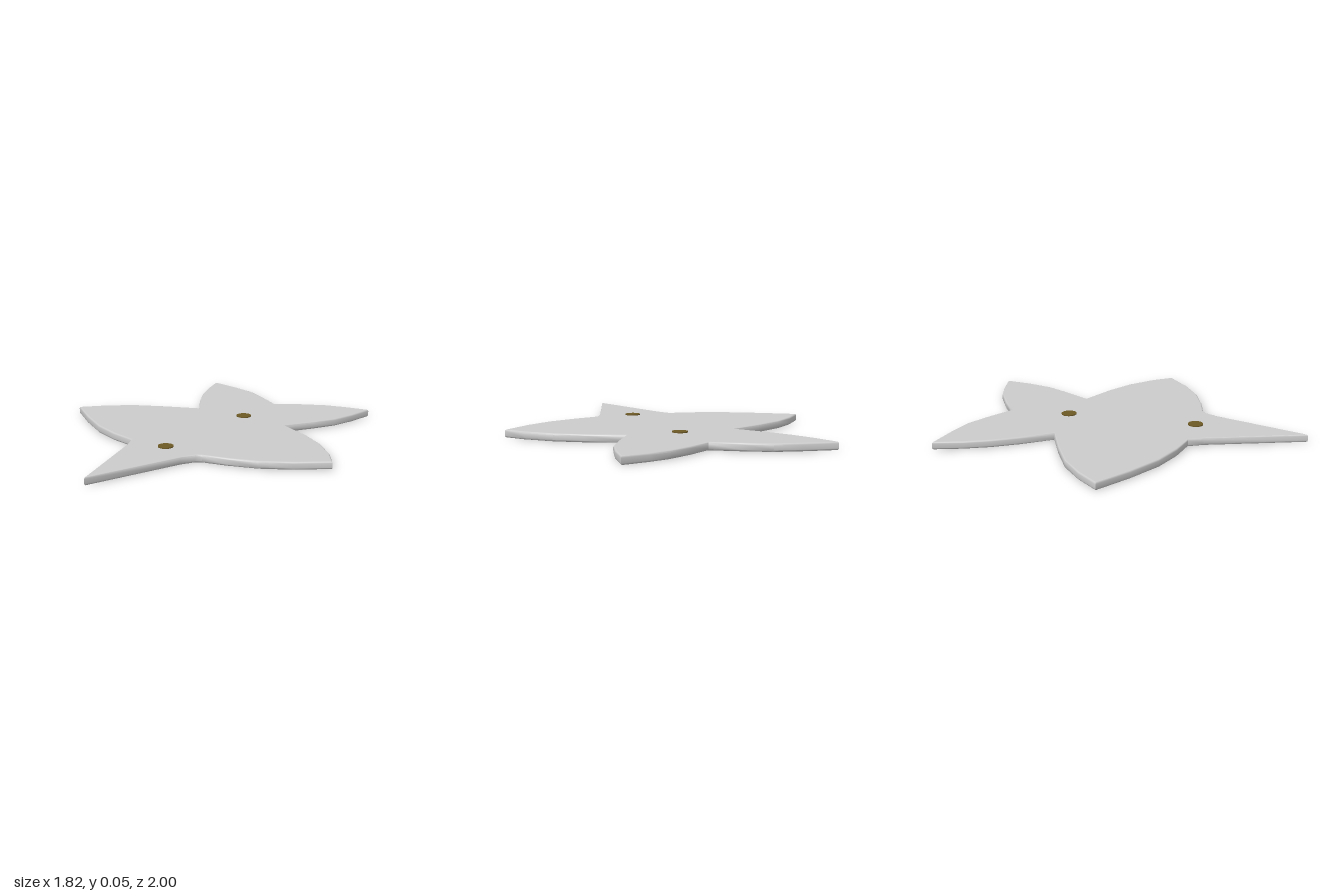
import * as THREE from 'three';
import { toCreasedNormals } from 'three/addons/utils/BufferGeometryUtils.js';

const THICKNESS = 0.045;
const BEVEL = 0.01;

// Star outline as [x, z], starting at the back right tip
const OUTLINE = [
  [-0.59, -1], [-0.4, -0.97], [-0.25, -0.935], [-0.11, -0.86], [0.035, -0.77], // back edge
  [0.17, -0.86], [0.31, -0.935], [0.43, -0.97], [0.585, -1],
  [0.56, -0.835], [0.52, -0.69], [0.445, -0.55], [0.35, -0.395],
  [0.55, -0.3], [0.7, -0.205], [0.83, -0.08], [0.91, 0.03], // left point
  [0.75, 0.165], [0.595, 0.26], [0.43, 0.32], [0.295, 0.355], [0.265, 0.375], [0.225, 0.45],
  [0.035, 1], // front point
  [-0.16, 0.44], [-0.2, 0.36], [-0.36, 0.33], [-0.53, 0.27], [-0.72, 0.16],
  [-0.91, 0.03], // right point
  [-0.8, -0.095], [-0.665, -0.21], [-0.485, -0.305], [-0.285, -0.395],
  [-0.4, -0.56], [-0.48, -0.7], [-0.54, -0.84],
];

// Flat plate with a softly rounded rim
function plateGeometry() {
  const shape = new THREE.Shape(OUTLINE.map(([x, z]) => new THREE.Vector2(x, z)));
  let geometry = new THREE.ExtrudeGeometry(shape, {
    depth: THICKNESS - 2 * BEVEL,
    bevelThickness: BEVEL,
    bevelSize: BEVEL,
    bevelOffset: -BEVEL,
    bevelSegments: 3,
  });
  geometry.rotateX(Math.PI / 2);
  geometry.translate(0, THICKNESS - BEVEL, 0);
  geometry = toCreasedNormals(geometry, Math.PI / 4);

  // Keep the two broad faces flat so only the rim is shaded round
  const { position, normal } = geometry.attributes;
  for (let i = 0; i < position.count; i++) {
    const y = position.getY(i);
    if (y > THICKNESS - 1e-4) normal.setXYZ(i, 0, 1, 0);
    else if (y < 1e-4) normal.setXYZ(i, 0, -1, 0);
  }
  return geometry;
}

export function createModel() {
  const group = new THREE.Group();
  group.name = 'starPlate';

  const plate = new THREE.Mesh(plateGeometry(), new THREE.MeshStandardMaterial({ color: 0xcccccc }));
  plate.name = 'plate';
  group.add(plate);

  // Two studs slightly proud of the top face
  const studGeometry = new THREE.CylinderGeometry(0.044, 0.044, 0.02, 32);
  const studMaterial = new THREE.MeshStandardMaterial({ color: 0x6e5925 });
  for (const [name, z] of [['backStud', -0.41], ['frontStud', 0.355]]) {
    const stud = new THREE.Mesh(studGeometry, studMaterial);
    stud.name = name;
    stud.position.set(0.045, 0.041, z);
    group.add(stud);
  }
  return group;
}
